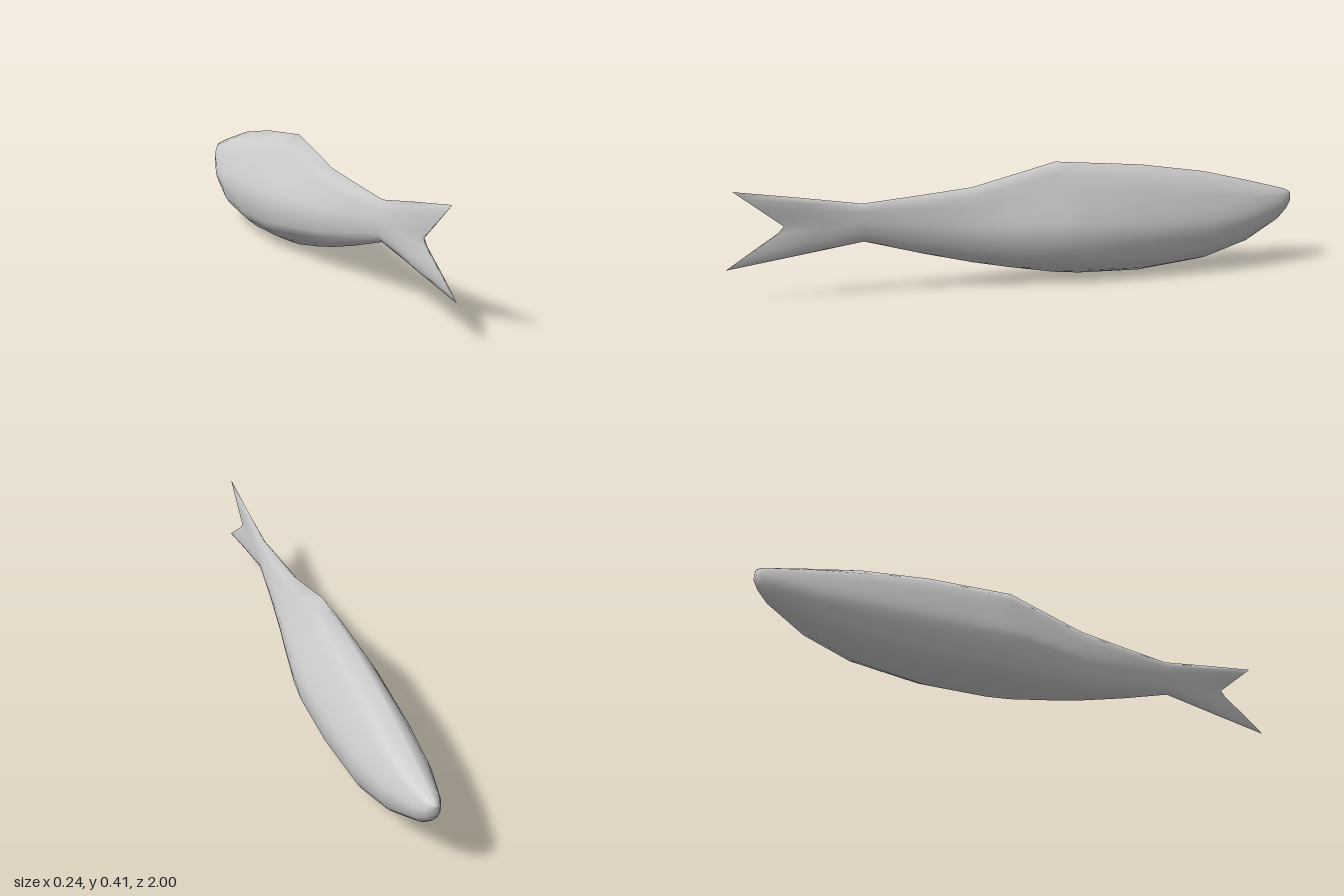
import * as THREE from 'three';

// Stations from nose to tail: [z, bottom, top, half width, roundness, fork depth]
const stations = [
  [-1.0, 0.215, 0.255, 0.012, 1, 0],
  [-0.985, 0.19, 0.265, 0.024, 1, 0],
  [-0.95, 0.155, 0.275, 0.042, 0.9, 0],
  [-0.82, 0.08, 0.31, 0.082, 0.7, 0],
  [-0.66, 0.028, 0.35, 0.108, 0.5, 0],
  [-0.42, 0.003, 0.388, 0.12, 0.4, 0],
  [-0.2, 0.01, 0.407, 0.12, 0.2, 0],
  [-0.11, 0.02, 0.415, 0.11, 0, 0],
  [0.05, 0.05, 0.375, 0.084, 0.1, 0],
  [0.18, 0.078, 0.343, 0.062, 0.3, 0],
  [0.35, 0.122, 0.327, 0.04, 0.6, 0],
  [0.55, 0.18, 0.31, 0.019, 0.8, 0],
  [0.68, 0.148, 0.343, 0.012, 0.6, 0.08],
  [0.8, 0.115, 0.375, 0.004, 0.5, 0.18],
];

// Cross-section from belly to back: [height fraction, width fraction]
const section = [
  [0, 0], [0.06, 0.4], [0.14, 0.78], [0.22, 0.93], [0.34, 1], [0.44, 0.98],
  [0.52, 0.88], [0.62, 0.71], [0.78, 0.42], [0.9, 0.21], [1, 0],
];

function createLoft() {
  const half = section.length;
  const n = 2 * half - 2;
  const pos = [], index = [];
  for (const [z, bottom, top, width, round, fork] of stations) {
    for (let j = 0; j < n; j++) {
      const left = j < half;
      const [t, drop] = section[left ? j : n - j];
      // Blend the teardrop section towards an ellipse
      const ellipse = Math.sqrt(Math.max(0, 1 - (2 * t - 1) ** 2));
      const w = width * (drop + (ellipse - drop) * round);
      // The tail fin's upper and lower edges sweep back into a fork
      const sweep = fork * Math.abs(2 * t - 1) * (t > 0.5 ? 0.9 : 1.11);
      pos.push(left ? w : -w, bottom + (top - bottom) * t, z + sweep);
    }
  }
  for (let i = 0; i < stations.length - 1; i++) {
    for (let j = 0; j < n; j++) {
      const a = i * n + j, b = i * n + (j + 1) % n;
      index.push(a, b, a + n, b, b + n, a + n);
    }
  }
  // Close the snout and the forked tail edge with strips across the ring
  const last = (stations.length - 1) * n;
  for (let j = 0; j < half - 1; j++) {
    const a = j, b = j + 1, c = (n - j) % n, d = n - j - 1;
    index.push(a, c, b, b, c, d);
    index.push(last + a, last + b, last + c, last + b, last + d, last + c);
  }
  const geo = new THREE.BufferGeometry();
  geo.setAttribute('position', new THREE.Float32BufferAttribute(pos, 3));
  geo.setIndex(index);
  geo.computeVertexNormals();
  return geo;
}

export function createModel() {
  const group = new THREE.Group();
  group.name = 'fish';
  const grey = new THREE.MeshStandardMaterial({ color: 0xcccccc, side: THREE.DoubleSide });
  grey.name = 'light grey';
  const body = new THREE.Mesh(createLoft(), grey);
  body.name = 'bodyAndTail';
  group.add(body);
  return group;
}
